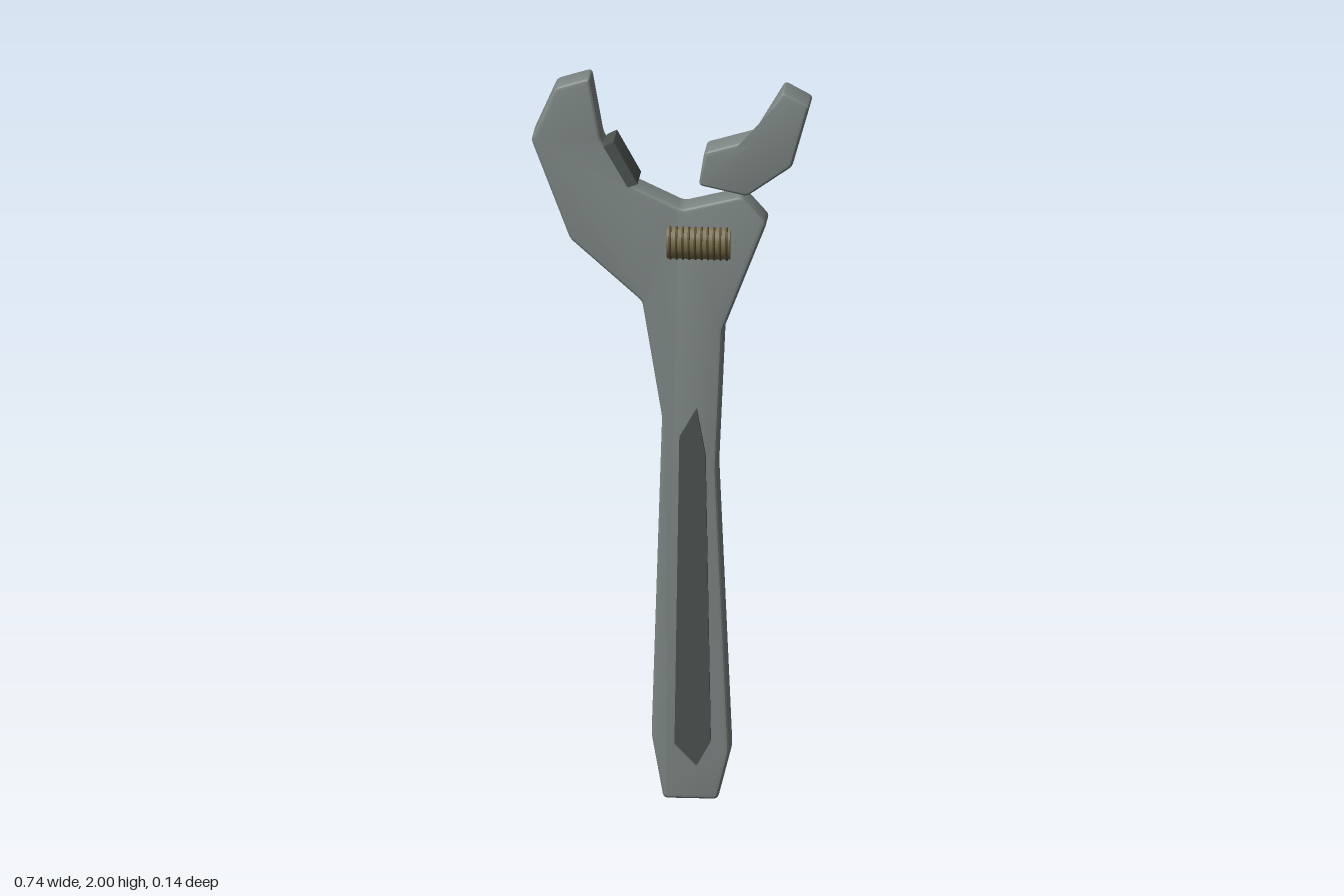
import * as THREE from 'three';
import { toCreasedNormals } from 'three/addons/utils/BufferGeometryUtils.js';

const material = (name, color) => new THREE.MeshStandardMaterial({ name, color });

// Closed outline whose corners are softened by radius r
function roundedShape(points, r) {
  const p = points.map(([x, y]) => new THREE.Vector2(x, y));
  const toward = (a, b) => a.clone().add(b.clone().sub(a).setLength(r));
  const shape = new THREE.Shape();
  p.forEach((c, i) => {
    const a = toward(c, p[(i + p.length - 1) % p.length]);
    const b = toward(c, p[(i + 1) % p.length]);
    if (i === 0) shape.moveTo(a.x, a.y);
    else shape.lineTo(a.x, a.y);
    shape.quadraticCurveTo(c.x, c.y, b.x, b.y);
  });
  shape.closePath();
  return shape;
}

// Slab between two depths, with bevelled rims kept inside the outline
function slab(name, points, back, front, bevel, corner, mat) {
  const geometry = new THREE.ExtrudeGeometry(roundedShape(points, corner), {
    depth: front - back - 2 * bevel,
    bevelEnabled: bevel > 0,
    bevelThickness: bevel,
    bevelSize: bevel,
    bevelOffset: -bevel,
    bevelSegments: 3,
    curveSegments: 3,
  });
  geometry.translate(0, 0, back + bevel);
  const mesh = new THREE.Mesh(toCreasedNormals(geometry, 0.4), mat);
  mesh.name = name;
  return mesh;
}

export function createModel() {
  const steel = material('steel', 0x7d8684);
  const darkSteel = material('dark steel', 0x4a524e);
  const brass = material('dull brass', 0x7a6c48);
  const darkBrass = material('dark brass', 0x50472f);

  const group = new THREE.Group();
  group.name = 'adjustableWrench';

  // Handle, head and fixed jaw in one piece
  group.add(slab('body', [
    [-0.02, 0], [0.125, 0], [0.158, 0.13], [0.123, 0.92], [0.14, 1.305],
    [0.257, 1.605], [0.19, 1.68], [0.03, 1.64], [-0.1, 1.7], [-0.187, 1.825],
    [-0.218, 2], [-0.31, 1.972], [-0.375, 1.825], [-0.27, 1.55],
    [-0.077, 1.38], [-0.024, 1.06], [-0.052, 0.177],
  ], -0.065, 0.041, 0.012, 0.012, steel));

  // Movable jaw
  group.add(slab('movableJaw', [
    [0.204, 1.68], [0.325, 1.765], [0.373, 1.936], [0.3, 1.975],
    [0.22, 1.84], [0.09, 1.802], [0.075, 1.708],
  ], -0.07, 0.046, 0.012, 0.01, steel));

  // Grip plate on the fixed jaw
  group.add(slab('jawPlate', [
    [-0.115, 1.7], [-0.088, 1.71], [-0.153, 1.826], [-0.18, 1.812],
  ], -0.073, 0.047, 0, 0.001, darkSteel));

  // Handle inlay
  group.add(slab('handleInlay', [
    [0.07, 0.097], [0.108, 0.165], [0.094, 0.96], [0.07, 1.09],
    [0.024, 1.01], [0.011, 0.157],
  ], 0.035, 0.053, 0, 0.004, darkSteel));

  // Adjusting screw with thread ridges
  const screw = new THREE.Group();
  screw.name = 'adjustingScrew';
  screw.position.set(0.075, 1.547, 0.016);
  const core = new THREE.Mesh(new THREE.CylinderGeometry(0.05, 0.05, 0.17, 24), brass);
  core.name = 'screwCore';
  core.rotation.z = Math.PI / 2;
  screw.add(core);
  const ridgeGeometry = new THREE.TorusGeometry(0.05, 0.0035, 6, 24).rotateY(Math.PI / 2);
  for (let i = 0; i < 10; i++) {
    const ridge = new THREE.Mesh(ridgeGeometry, darkBrass);
    ridge.name = 'screwRidge';
    ridge.position.x = (i - 4.5) * 0.0168;
    screw.add(ridge);
  }
  group.add(screw);

  return group;
}
